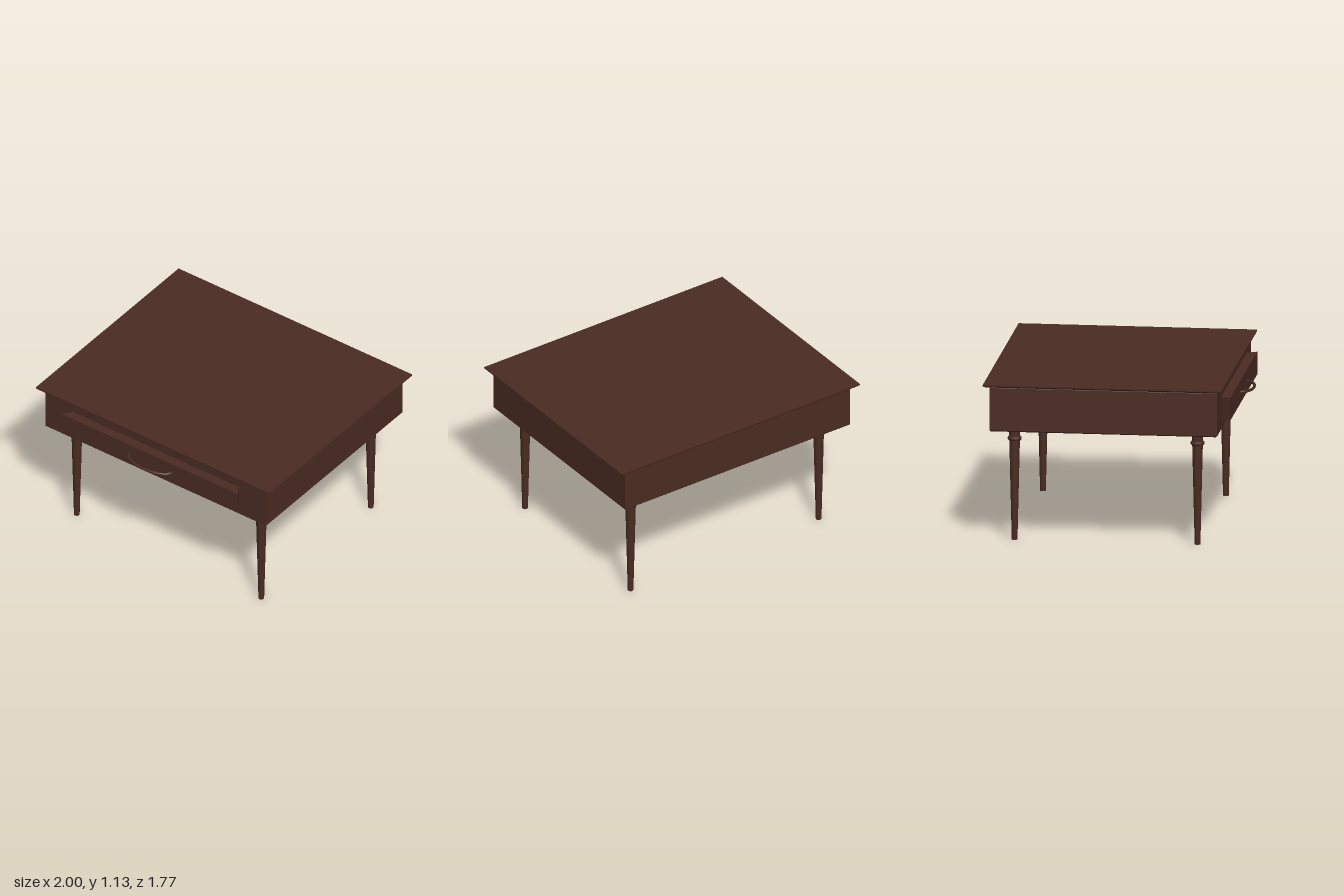
import * as THREE from 'three';

const wood = new THREE.MeshStandardMaterial({ color: 0x4a2c22 });
wood.name = 'dark brown wood';

// Closed solid through stacked rectangles, each [halfX, halfZ, y], flat shaded
function stackedRects(rings) {
  const loops = rings.map(([x, z, y]) => [[x, y, z], [x, y, -z], [-x, y, -z], [-x, y, z]]);
  const pos = [];
  const quad = (a, b, c, d) => pos.push(...a, ...b, ...c, ...a, ...c, ...d);
  for (let r = 0; r < loops.length - 1; r++) {
    for (let i = 0; i < 4; i++) {
      const j = (i + 1) % 4;
      quad(loops[r][i], loops[r][j], loops[r + 1][j], loops[r + 1][i]);
    }
  }
  quad(...loops[loops.length - 1]);
  quad(...[...loops[0]].reverse());
  const geo = new THREE.BufferGeometry();
  geo.setAttribute('position', new THREE.Float32BufferAttribute(pos, 3));
  geo.computeVertexNormals();
  return geo;
}

export function createModel() {
  const group = new THREE.Group();
  const add = (name, geo, x, y, z) => {
    const mesh = new THREE.Mesh(geo, wood);
    mesh.name = name;
    mesh.position.set(x, y, z);
    group.add(mesh);
    return mesh;
  };

  // Thin top with its edge rounded under
  add('tableTop', stackedRects([
    [0.945, 0.775, 1.102], [0.975, 0.805, 1.107], [0.993, 0.822, 1.113],
    [1, 0.828, 1.12], [1, 0.828, 1.13],
  ]), 0, 0, -0.057);

  // Deep box below the top, edges slightly eased
  add('apronBox', stackedRects([
    [0.937, 0.782, 0.79], [0.945, 0.79, 0.798], [0.945, 0.79, 1.097], [0.937, 0.782, 1.105],
  ]), 0, 0, -0.055);

  // Drawer front, flaring outwards at its ends
  const drawer = stackedRects([[0.71, 0.08, 0], [0.755, 0.08, 0.07]]);
  drawer.rotateX(Math.PI / 2);
  add('drawerFront', drawer, 0, 0.948, 0.732);

  // Bowed handle
  const bow = [];
  for (let i = 0; i <= 8; i++) {
    const a = Math.PI * i / 8;
    bow.push(new THREE.Vector3(-0.18 * Math.cos(a), 0, 0.078 * Math.sin(a)));
  }
  add('drawerHandle', new THREE.TubeGeometry(new THREE.CatmullRomCurve3(bow), 24, 0.01, 8), 0, 0.946, 0.797);

  // Turned legs: tapered shaft, neck and collar
  const shaft = new THREE.LatheGeometry(
    [[0, 0], [0.02, 0], [0.037, 0.7], [0.037, 0.73], [0.039, 0.795]].map(p => new THREE.Vector2(...p)), 16);
  const collar = new THREE.LatheGeometry(
    [[0.034, 0.701], [0.044, 0.703], [0.048, 0.71], [0.048, 0.72], [0.044, 0.728], [0.034, 0.73]]
      .map(p => new THREE.Vector2(...p)), 16);
  for (const [side, x] of [['Left', 0.79], ['Right', -0.79]]) {
    for (const [end, z] of [['front', 0.58], ['back', -0.69]]) {
      add(`${end}${side}Leg`, shaft, x, 0, z);
      add(`${end}${side}LegCollar`, collar, x, 0, z);
    }
  }
  return group;
}
